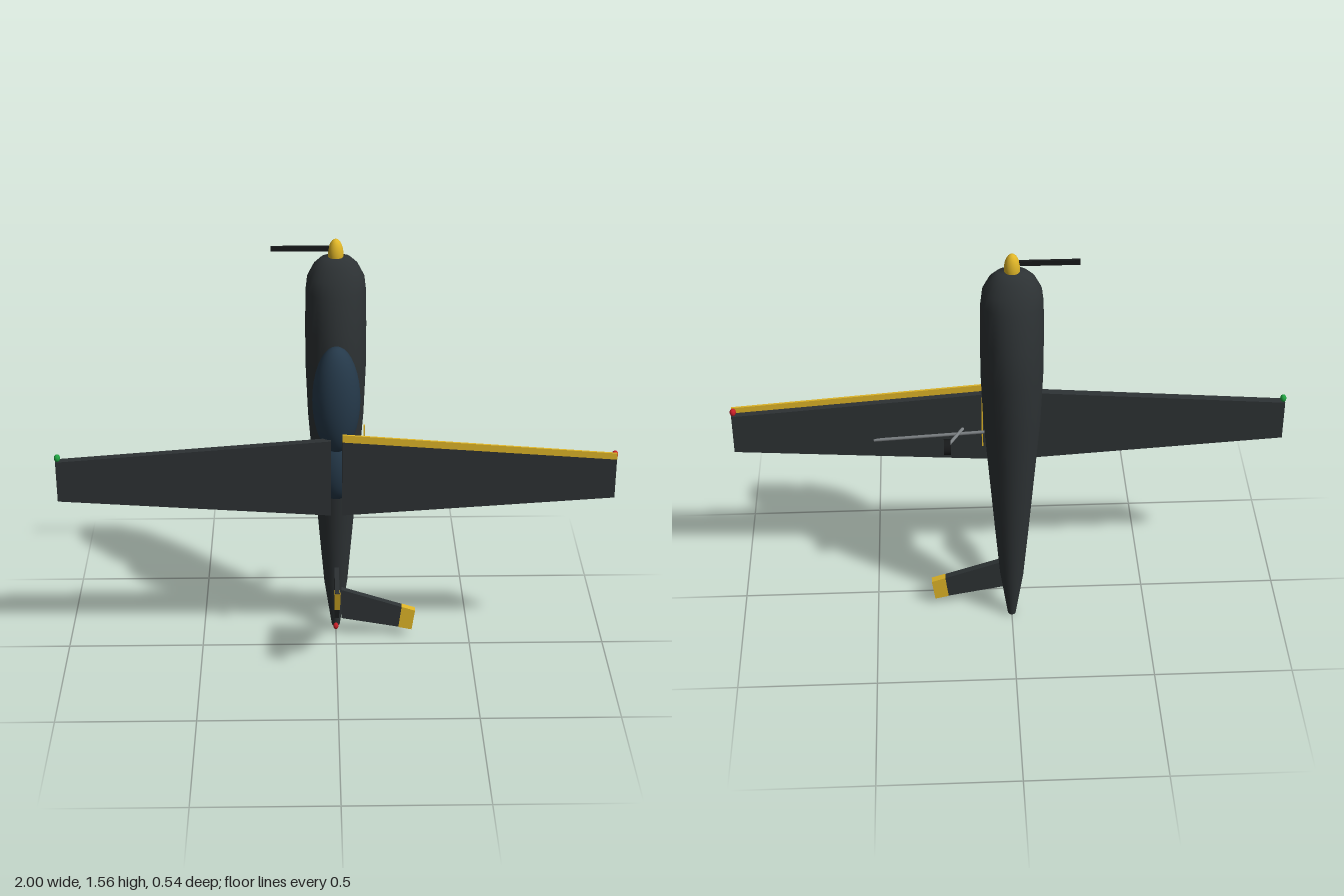
import * as THREE from 'three';

const mat = (color, extra = {}) => new THREE.MeshStandardMaterial({ color, ...extra });
const DARK = mat(0x2d3234);
const BLACK = mat(0x17191a);
const BLUE = mat(0x25394a);
const YELLOW = mat(0xe0b628);
const STEEL = mat(0x7d8285);
const RED = mat(0xc81e28);
const GREEN = mat(0x1fa040);

const SPINE_Z = -0.138;

export function createModel() {
  const model = new THREE.Group();
  const add = (name, geometry, material, x = 0, y = 0, z = 0) => {
    const mesh = new THREE.Mesh(geometry, material);
    mesh.name = name;
    mesh.position.set(x, y, z);
    model.add(mesh);
    return mesh;
  };

  // Ellipsoid from a unit sphere
  const ellipsoid = (name, material, center, radii) => {
    const g = new THREE.SphereGeometry(1, 28, 18);
    g.scale(...radii);
    return add(name, g, material, ...center);
  };

  // Flat plate: outline in x/y, thickness centred on z
  const plate = (points, thickness) => {
    const shape = new THREE.Shape(points.map(([x, y]) => new THREE.Vector2(x, y)));
    const g = new THREE.ExtrudeGeometry(shape, { depth: thickness, bevelEnabled: false });
    g.translate(0, 0, -thickness / 2);
    return g;
  };

  // Round rod between two points
  const rod = (name, a, b, radius, material) => {
    const p = new THREE.Vector3(...a), q = new THREE.Vector3(...b);
    const d = q.clone().sub(p);
    const mesh = add(name, new THREE.CylinderGeometry(radius, radius, d.length(), 10), material);
    mesh.position.copy(p).add(q).multiplyScalar(0.5);
    mesh.quaternion.setFromUnitVectors(new THREE.Vector3(0, 1, 0), d.normalize());
    return mesh;
  };

  // Elliptical rings [y, half width, half depth] joined into a closed skin
  const loft = (rings, sides = 28) => {
    const pos = [], index = [];
    for (const [y, rx, rz] of rings) {
      for (let i = 0; i < sides; i++) {
        const a = (i / sides) * Math.PI * 2;
        pos.push(Math.sin(a) * rx, y, Math.cos(a) * rz);
      }
    }
    for (let r = 0; r < rings.length - 1; r++) {
      for (let i = 0; i < sides; i++) {
        const j = (i + 1) % sides;
        const a = r * sides + i, b = r * sides + j;
        index.push(a, b, b + sides, a, b + sides, a + sides);
      }
    }
    const g = new THREE.BufferGeometry();
    g.setAttribute('position', new THREE.Float32BufferAttribute(pos, 3));
    g.setIndex(index);
    g.computeVertexNormals();
    return g;
  };

  // Fuselage, nose up
  add('fuselage', loft([
    [0.008, 0.0005, 0.0005], [0.01, 0.015, 0.019], [0.2, 0.043, 0.042],
    [0.4, 0.06, 0.063], [0.6, 0.076, 0.083], [0.9, 0.1, 0.118],
    [1.1, 0.108, 0.134], [1.25, 0.108, 0.131], [1.38, 0.106, 0.098],
    [1.43, 0.1, 0.08], [1.475, 0.077, 0.055], [1.5, 0.05, 0.03], [1.502, 0.0005, 0.0005],
  ]), DARK, 0, 0, SPINE_Z);

  // Spinner and single propeller blade
  ellipsoid('spinner', YELLOW, [0, 1.51, SPINE_Z], [0.027, 0.055, 0.027]);
  add('propellerBlade', new THREE.BoxGeometry(0.225, 0.018, 0.01), BLACK, -0.113, 1.53, SPINE_Z);

  // Canopy and rear fairing
  ellipsoid('canopy', BLUE, [0, 1.015, 0], [0.085, 0.203, 0.08]);
  ellipsoid('rearFairing', BLUE, [0, 0.74, -0.027], [0.075, 0.13, 0.067]);

  // Wings with tip lights
  for (const side of [1, -1]) {
    const outline = [[0.02, 0.59], [0.995, 0.655], [0.995, 0.81], [0.02, 0.886]];
    const points = outline.map(([x, y]) => [x * side, y]);
    const label = side > 0 ? 'left' : 'right';
    add(label + 'Wing', plate(points, 0.028), DARK, 0, 0, 0.055);
    ellipsoid(label + 'TipLight', side > 0 ? RED : GREEN,
      [0.989 * side, 0.821, 0.055], [0.011, 0.014, 0.013]);
  }

  // Yellow leading edge on the left wing
  add('leadingEdgeStrip', plate([[0.02, 0.883], [0.995, 0.808], [0.995, 0.832], [0.02, 0.911]], 0.008),
    YELLOW, 0, 0, 0.068);

  // Left tailplane with yellow tip
  add('tailplane', plate([[0.02, 0.085], [0.24, 0.044], [0.25, 0.13], [0.02, 0.207]], 0.024),
    DARK, 0, 0, -0.067);
  add('tailplaneTip', plate([[0.235, 0.044], [0.285, 0.033], [0.297, 0.115], [0.246, 0.132]], 0.026),
    YELLOW, 0, 0, -0.067);

  // Fin: outline drawn as (z, y), then turned into the y/z plane
  const upright = (name, points, thickness, material) => {
    const g = plate(points.map(([z, y]) => [-z, y]), thickness);
    g.rotateY(Math.PI / 2);
    return add(name, g, material);
  };
  upright('fin', [[0.272, 0.384], [0.055, 0.367], [-0.04, 0.188], [-0.056, 0.085], [0.14, 0.205]],
    0.016, DARK);
  upright('finTip', [[0.268, 0.378], [0.23, 0.375], [0.215, 0.31], [0.246, 0.302]], 0.02, YELLOW);
  ellipsoid('tailLight', RED, [0, 0.018, -0.109], [0.01, 0.013, 0.01]);

  // Wing strut and landing gear on the left side
  rod('wingStrut', [0.07, 0.77, -0.032], [0.49, 0.69, 0.043], 0.006, STEEL);
  rod('gearLeg', [0.17, 0.79, -0.037], [0.226, 0.77, -0.112], 0.006, STEEL);
  const wheel = add('wheel', new THREE.CylinderGeometry(0.028, 0.028, 0.024, 20), BLACK, 0.227, 0.768, -0.116);
  wheel.rotation.z = Math.PI / 2;

  // Thin side stripe
  add('sideStripe', new THREE.BoxGeometry(0.005, 0.21, 0.006), YELLOW, 0.1, 0.803, -0.018);

  return model;
}
